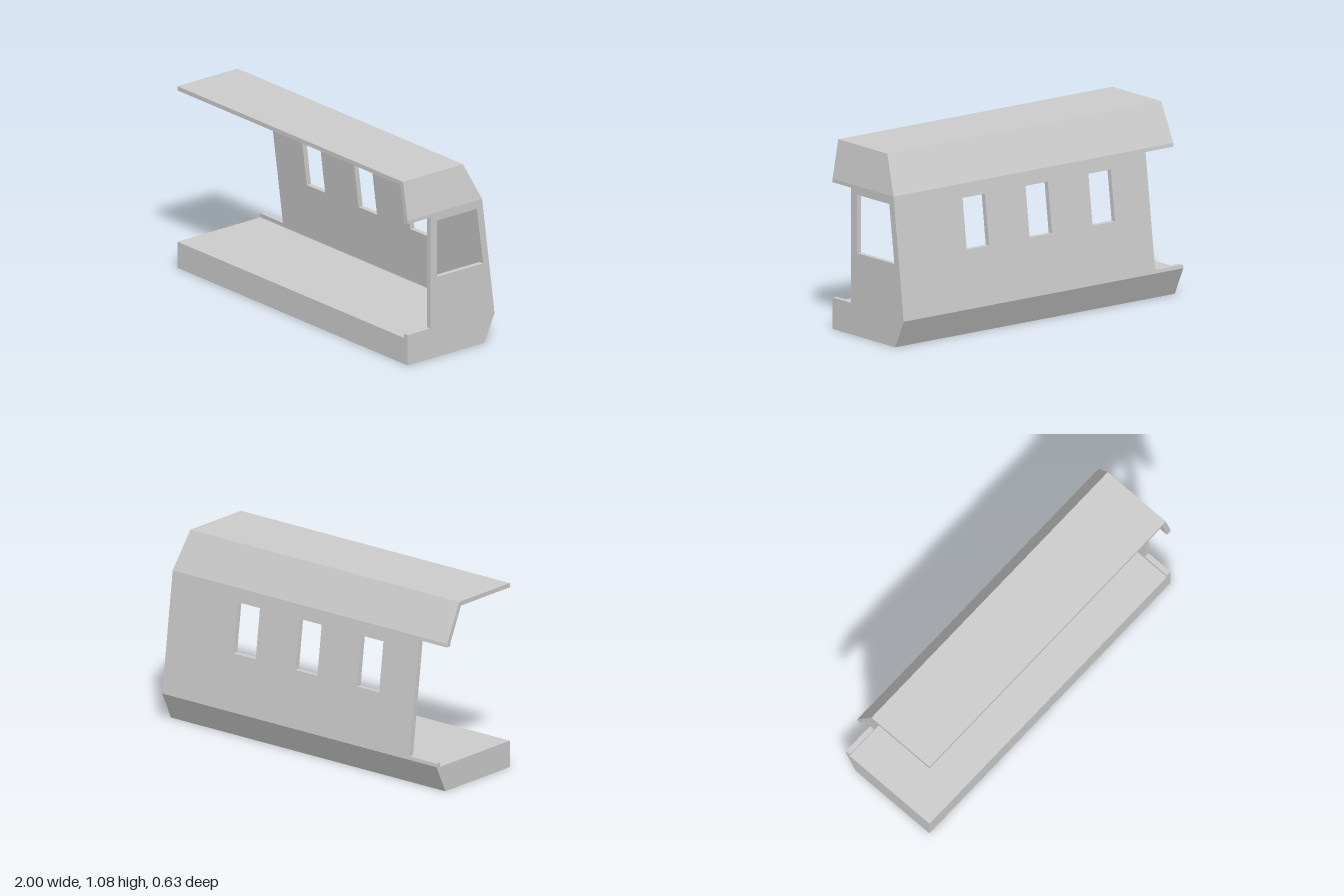
import * as THREE from 'three';

const FRONT = 0.315, KNEE = 0.16, EAVE = 0.86, TOP = 1.08, T = 0.03;

// Outer side of the leaning wall, and outer side of the end (raked above the eave)
const wallZ = y => -0.315 + 0.09 * (y - KNEE) / (EAVE - KNEE);
const endX = y => 1 - 0.04 * Math.max(0, (y - EAVE) / (TOP - EAVE));

const material = new THREE.MeshStandardMaterial({ color: 0xcccccc, flatShading: true });
const points = list => list.map(([a, b]) => new THREE.Vector2(a, b));

// Extrude an outline with holes from 0 to 1, then place each vertex by a rule
function part(name, outline, holes, place) {
  const shape = new THREE.Shape(points(outline));
  holes.forEach(h => shape.holes.push(new THREE.Path(points(h))));
  const geometry = new THREE.ExtrudeGeometry(shape, { depth: 1, bevelEnabled: false });
  const p = geometry.attributes.position;
  for (let i = 0; i < p.count; i++) p.setXYZ(i, ...place(p.getX(i), p.getY(i), p.getZ(i)));
  geometry.computeVertexNormals();
  const mesh = new THREE.Mesh(geometry, material);
  mesh.name = name;
  return mesh;
}

// Cross-sections are listed as [z, y]; the outline runs along -z so faces point outward
const section = (name, outline, holes, xFrom, xTo) => {
  const flip = list => list.map(([z, y]) => [-z, y]);
  return part(name, flip(outline), holes.map(flip),
    (u, y, t) => [THREE.MathUtils.lerp(xFrom(y), xTo(y), t), y, -u]);
};

export function createModel() {
  const group = new THREE.Group();
  group.name = 'carriageHalf';
  const openEnd = () => -1;
  const endInner = y => endX(y) - T;

  // Solid floor with a slanted underside edge
  group.add(section('floor', [[FRONT, 0], [FRONT, 0.155], [-0.285, 0.155],
    [-0.285, KNEE], [-0.315, KNEE], [-0.24, 0]], [], openEnd, endInner));

  // Roof and its sloped shoulder
  group.add(section('roof', [[-0.225, EAVE], [-0.12, TOP], [FRONT, TOP],
    [FRONT, 1.055], [-0.105, 1.055], [-0.195, EAVE]], [], openEnd, endInner));

  // Leaning side wall with a doorway at the open end and three windows
  const windows = [-0.465, -0.015, 0.435].map(x =>
    [[x - 0.08, 0.49], [x + 0.08, 0.49], [x + 0.08, 0.78], [x - 0.08, 0.78]]);
  group.add(part('sideWall', [[-1, KNEE], [1 - T, KNEE], [1 - T, EAVE], [-1, EAVE],
    [-1, 0.84], [-0.8, 0.84], [-0.8, 0.18], [-1, 0.18]], windows,
  (x, y, t) => [x, y, wallZ(y) + t * T]));

  // End wall with half a doorway and one window, raked above the eave
  const endWindow = [[0.1, 0.475], [-0.232, 0.475], [-0.187, 0.81], [0.1, 0.81]];
  group.add(section('endWall', [[FRONT, 0], [FRONT, 0.18], [0.15, 0.18], [0.15, 0.84],
    [FRONT, 0.84], [FRONT, EAVE], [-0.225, EAVE], [-0.315, KNEE], [-0.24, 0]],
  [endWindow], endInner, endX));
  group.add(section('endWallTop', [[FRONT, EAVE], [FRONT, TOP], [-0.12, TOP], [-0.225, EAVE]],
    [], endInner, endX));

  return group;
}
